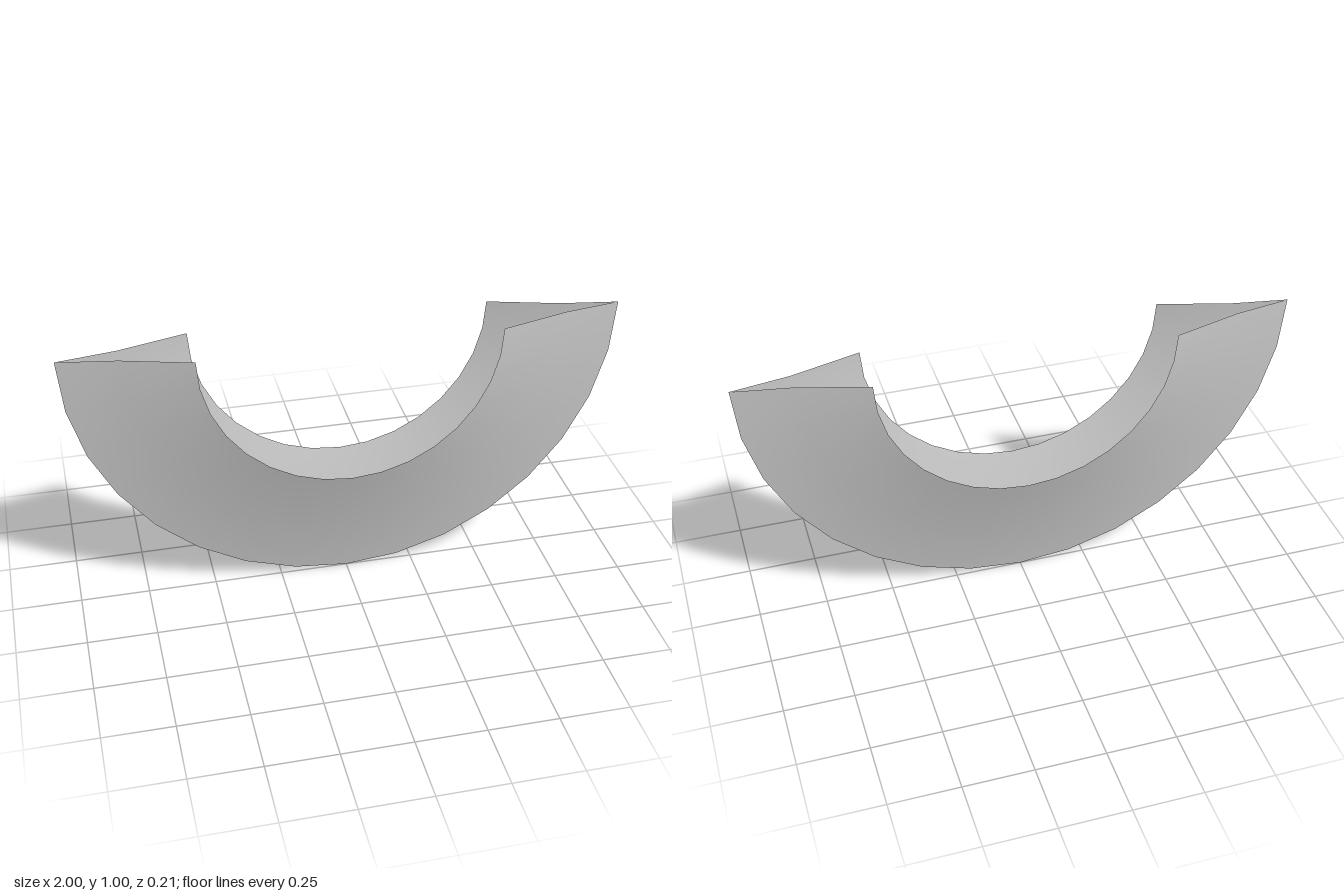
import * as THREE from 'three';

export function createModel() {
  const group = new THREE.Group();
  group.name = 'halfRingBlade';
  const material = new THREE.MeshStandardMaterial({ color: 0xcccccc, side: THREE.DoubleSide });

  // Radius and half thickness from the sharp outer rim to the open inner rim
  const profile = [[1, 0], [0.79, 0.035], [0.54, 0.107]];

  // One flank of the hollow V, swept through the lower half circle
  function addFlank(name, side) {
    const points = profile.map(([r, z]) => new THREE.Vector2(r, z * side));
    if (side < 0) points.reverse();
    const geometry = new THREE.LatheGeometry(points, 16, -Math.PI / 2, Math.PI);
    geometry.rotateX(Math.PI / 2).translate(0, 1, 0);
    const mesh = new THREE.Mesh(geometry, material);
    mesh.name = name;
    group.add(mesh);
  }

  addFlank('frontFlank', 1);
  addFlank('backFlank', -1);
  return group;
}
